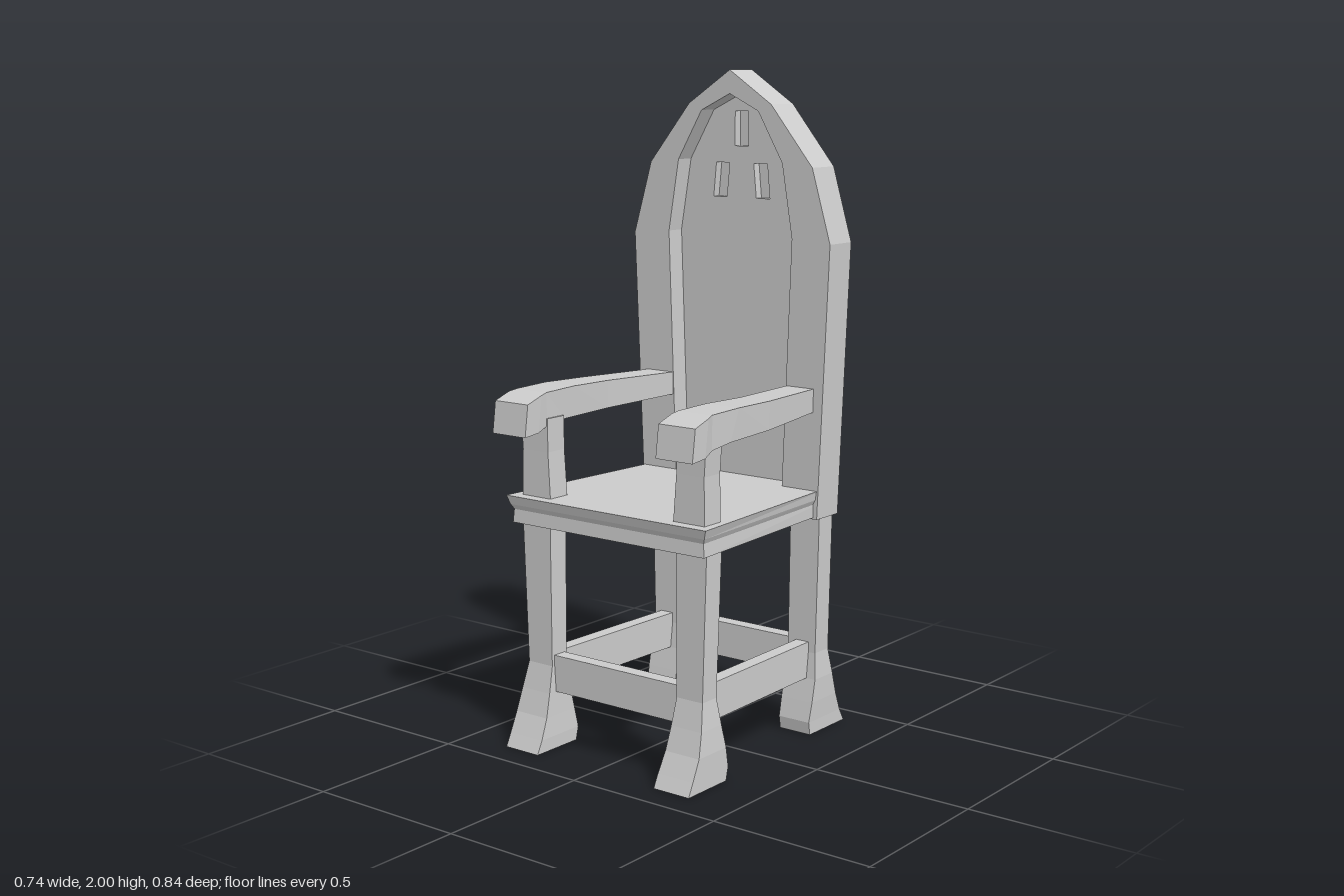
import * as THREE from 'three';

const material = new THREE.MeshStandardMaterial({ color: 0xcccccc, flatShading: true });

// Skin a list of four-cornered rings and cap both ends
function loft(rings) {
  const pos = [];
  const quad = (a, b, c, d) => pos.push(...a, ...b, ...c, ...a, ...c, ...d);
  for (let i = 0; i < rings.length - 1; i++) {
    for (let j = 0; j < 4; j++) {
      const k = (j + 1) % 4;
      quad(rings[i][j], rings[i][k], rings[i + 1][k], rings[i + 1][j]);
    }
  }
  const [a, b, c, d] = rings[0];
  quad(d, c, b, a);
  quad(...rings[rings.length - 1]);
  const g = new THREE.BufferGeometry();
  g.setAttribute('position', new THREE.Float32BufferAttribute(pos, 3));
  g.computeVertexNormals();
  return g;
}

// Horizontal ring: [y, inner x, outer x, back z, front z]; side is +1 or -1
function levelRing([y, xi, xo, z0, z1], side) {
  const x0 = Math.min(xi * side, xo * side), x1 = Math.max(xi * side, xo * side);
  return [[x0, y, z1], [x1, y, z1], [x1, y, z0], [x0, y, z0]];
}

// Upright arm ring: [inner x, outer x, bottom z, bottom y, top z, top y]
function armRing([xi, xo, zb, yb, zt, yt], side) {
  const x0 = Math.min(xi * side, xo * side), x1 = Math.max(xi * side, xo * side);
  return [[x0, yb, zb], [x1, yb, zb], [x1, yt, zt], [x0, yt, zt]];
}

// Symmetric closed outline from its right half, listed bottom to peak
function mirrored(half) {
  const left = half.filter(([x]) => x > 0).map(([x, y]) => [-x, y]).reverse();
  return [...half, ...left].map(([x, y]) => new THREE.Vector2(x, y));
}

function slab(shape, z0, z1) {
  const g = new THREE.ExtrudeGeometry(shape, { depth: z1 - z0, bevelEnabled: false });
  return g.translate(0, 0, z0);
}

export function createModel() {
  const chair = new THREE.Group();
  chair.name = 'chair';
  const add = (name, geometry, parent = chair) => {
    const mesh = new THREE.Mesh(geometry, material);
    mesh.name = name;
    parent.add(mesh);
    return mesh;
  };

  // Pointed backrest: solid rear, recessed panel with niches, raised frame
  const back = new THREE.Group();
  back.name = 'backrest';
  chair.add(back);
  const outer = mirrored([[0.33, 0.675], [0.365, 1.5], [0.3, 1.72], [0.152, 1.9], [0, 2]]);
  const inner = mirrored([[0.2, 0.7], [0.23, 1.51], [0.193, 1.73], [0.105, 1.88], [0, 1.93]]);
  add('backBoard', slab(new THREE.Shape(outer), -0.347, -0.325), back);
  const frame = new THREE.Shape(outer);
  frame.holes.push(new THREE.Path(inner));
  add('backFrame', slab(frame, -0.325, -0.235), back);
  const panel = new THREE.Shape(inner);
  for (const [x, y, lean] of [[0, 1.825, 0], [-0.075, 1.67, 0.005], [0.075, 1.67, -0.005]]) {
    panel.holes.push(new THREE.Path([
      [x - 0.025 - lean, y - 0.052], [x + 0.025 - lean, y - 0.052],
      [x + 0.025 + lean, y + 0.052], [x - 0.025 + lean, y + 0.052],
    ].map(([px, py]) => new THREE.Vector2(px, py))));
  }
  add('backPanel', slab(panel, -0.325, -0.298), back);

  // Tapered seat with a moulded edge: [y, front half width, back half width, front z]
  add('seat', loft([
    [0.68, 0.355, 0.31, 0.355],
    [0.72, 0.352, 0.31, 0.352],
    [0.735, 0.36, 0.318, 0.36],
    [0.762, 0.37, 0.322, 0.367],
  ].map(([y, f, b, z]) => [[-f, y, z], [f, y, z], [b, y, -0.34], [-b, y, -0.34]])));

  const frontLeg = [
    [0, 0.22, 0.345, 0.235, 0.41], [0.04, 0.22, 0.345, 0.225, 0.39],
    [0.1, 0.225, 0.345, 0.235, 0.362], [0.17, 0.23, 0.338, 0.248, 0.342],
    [0.25, 0.235, 0.327, 0.258, 0.323], [0.69, 0.235, 0.342, 0.255, 0.325],
  ];
  const backLeg = [
    [0, 0.205, 0.315, -0.42, -0.235], [0.04, 0.205, 0.315, -0.397, -0.228],
    [0.1, 0.205, 0.318, -0.37, -0.24], [0.17, 0.205, 0.318, -0.35, -0.255],
    [0.25, 0.21, 0.31, -0.335, -0.265], [0.69, 0.215, 0.32, -0.335, -0.265],
  ];
  const armPost = [
    [0.755, 0.228, 0.338, 0.255, 0.33], [0.9, 0.238, 0.335, 0.255, 0.328],
    [1.0, 0.238, 0.342, 0.255, 0.328],
  ];
  const armrest = [
    [0.215, 0.312, -0.24, 1.0, -0.24, 1.07], [0.247, 0.35, 0.04, 0.992, 0.04, 1.076],
    [0.245, 0.36, 0.24, 0.988, 0.2, 1.08], [0.243, 0.36, 0.325, 0.978, 0.325, 1.077],
    [0.24, 0.367, 0.365, 0.963, 0.35, 1.072], [0.24, 0.367, 0.423, 0.957, 0.41, 1.052],
  ];

  // Parts made once per side
  for (const side of [1, -1]) {
    const tag = side > 0 ? 'Left' : 'Right';
    add('frontLeg' + tag, loft(frontLeg.map((r) => levelRing(r, side))));
    add('backLeg' + tag, loft(backLeg.map((r) => levelRing(r, side))));
    add('armPost' + tag, loft(armPost.map((r) => levelRing(r, side))));
    add('armrest' + tag, loft(armrest.map((r) => armRing(r, side))));
    add('sideStretcher' + tag, loft([
      [0.24, 0.285, -0.29, 0.17, -0.29, 0.282], [0.255, 0.3, 0.28, 0.17, 0.28, 0.282],
    ].map((r) => armRing(r, side))));
  }

  // Front and back stretchers
  for (const [name, z, width] of [['frontStretcher', 0.29, 0.5], ['backStretcher', -0.3, 0.46]]) {
    add(name, new THREE.BoxGeometry(width, 0.112, 0.045).translate(0, 0.226, z));
  }
  return chair;
}
